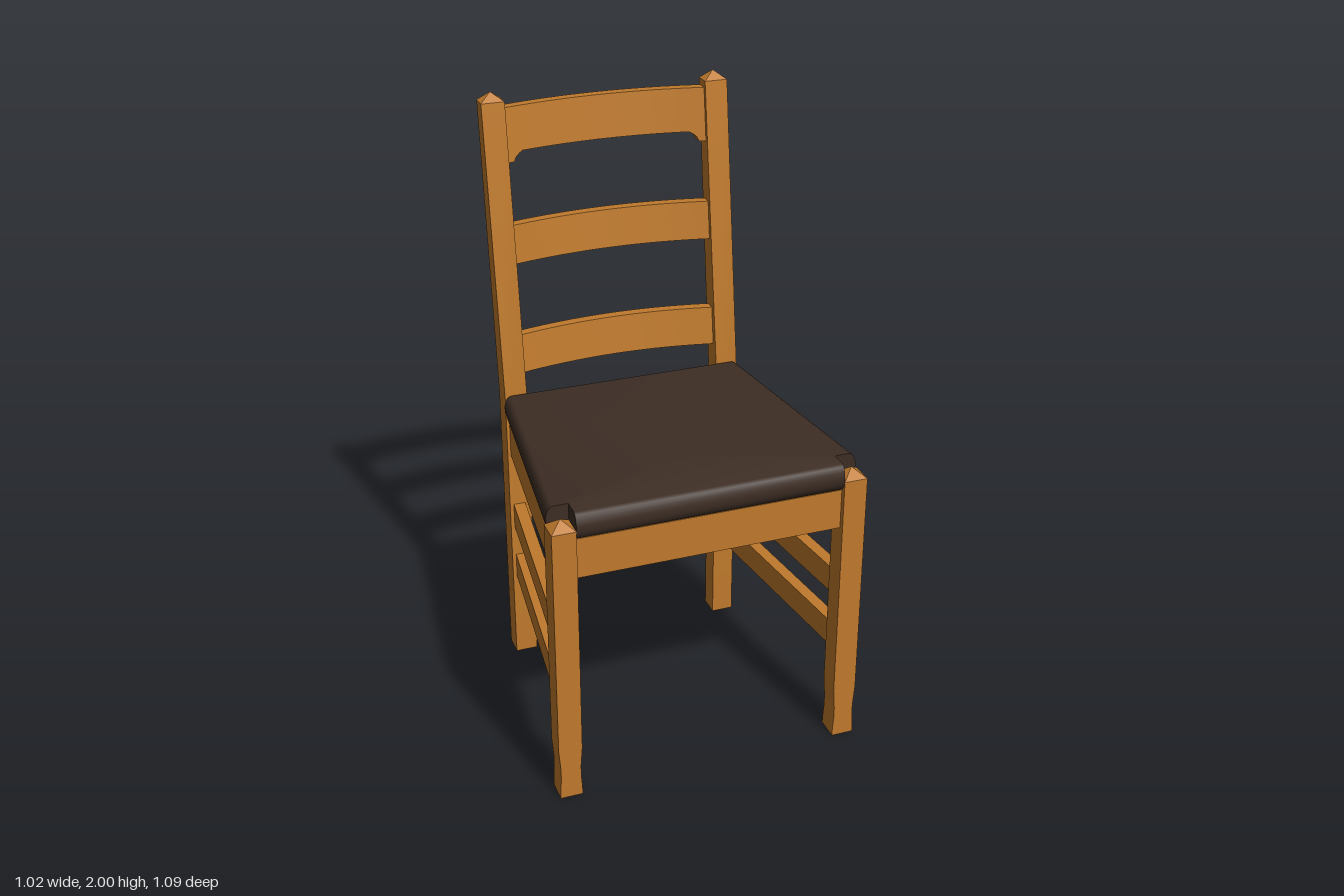
import * as THREE from 'three';
import { toCreasedNormals } from 'three/addons/utils/BufferGeometryUtils.js';

const lerp = THREE.MathUtils.lerp;

// Skin a stack of equal-length closed rings and cap both ends.
function loft(rings) {
  const pos = [];
  const tri = (a, b, c) => pos.push(...a, ...b, ...c);
  const centre = (r) => [0, 1, 2].map((k) => r.reduce((s, p) => s + p[k], 0) / r.length);
  const n = rings[0].length;
  for (let i = 0; i < rings.length - 1; i++) {
    for (let j = 0; j < n; j++) {
      const k = (j + 1) % n;
      const a = rings[i], b = rings[i + 1];
      tri(a[j], a[k], b[k]);
      tri(a[j], b[k], b[j]);
    }
  }
  const first = rings[0], last = rings[rings.length - 1];
  const c0 = centre(first), c1 = centre(last);
  for (let j = 0; j < n; j++) {
    const k = (j + 1) % n;
    tri(c0, first[k], first[j]);
    tri(c1, last[j], last[k]);
  }
  const g = new THREE.BufferGeometry();
  g.setAttribute('position', new THREE.Float32BufferAttribute(pos, 3));
  return toCreasedNormals(g, 0.6);
}

// Rectangular section centred on (x, z) at height y.
const section = (x, y, z, w, d) => [
  [x + w / 2, y, z + d / 2], [x + w / 2, y, z - d / 2],
  [x - w / 2, y, z - d / 2], [x - w / 2, y, z + d / 2],
];

// Centre line of the raked back posts above the seat.
const postZ = (y) => -0.37 - 0.12 * Math.max(0, y - 1) / 0.96;

const FX = 0.471, FZ = 0.467, BX = 0.377, BZ = -0.37, LEG = 0.077;

export function createModel() {
  const wood = new THREE.MeshStandardMaterial({ color: 0xc07a2c });
  wood.name = 'oak wood';
  const leather = new THREE.MeshStandardMaterial({ color: 0x3d2d24 });
  leather.name = 'dark brown leather';
  const lining = new THREE.MeshStandardMaterial({ color: 0xb8aa7e });
  lining.name = 'seat lining';

  const model = new THREE.Group();
  model.name = 'chair';
  const chair = new THREE.Group();
  chair.name = 'chairBody';
  chair.position.set(-0.03, 0, 0.002);
  chair.rotation.y = 0.06;
  model.add(chair);

  const add = (name, geometry, material = wood) => {
    const mesh = new THREE.Mesh(geometry, material);
    mesh.name = name;
    chair.add(mesh);
    return mesh;
  };

  // Straight bar between two plan points.
  const bar = (name, x0, z0, x1, z1, yLow, yHigh, thick) => {
    const length = Math.hypot(x1 - x0, z1 - z0);
    const mesh = add(name, new THREE.BoxGeometry(length, yHigh - yLow, thick));
    mesh.position.set((x0 + x1) / 2, (yLow + yHigh) / 2, (z0 + z1) / 2);
    mesh.rotation.y = -Math.atan2(z1 - z0, x1 - x0);
  };

  for (const [side, s] of [['left', 1], ['right', -1]]) {
    // Front leg: waisted foot and a pyramid cap.
    const front = [[0, 0.073], [0.03, 0.072], [0.07, 0.066], [0.11, 0.066],
      [0.15, 0.072], [0.18, LEG], [0.96, LEG], [0.99, 0.001]];
    add(side + 'FrontLeg', loft(front.map(([y, w]) =>
      section(s * FX, y, FZ, w, y > 0.98 ? 0.001 : LEG))));

    // Back leg: straight to the seat, then raked and tapering.
    const back = [[0, 0.075, 0.075], [1, 0.075, 0.075], [1.972, 0.077, 0.055], [2, 0.001, 0.001]];
    add(side + 'BackLeg', loft(back.map(([y, w, d]) => section(s * BX, y, postZ(y), w, d))));

    // Seat rail and two stretchers along each side.
    bar(side + 'SeatRail', s * FX, FZ, s * BX, BZ, 0.79, 0.925, 0.045);
    bar(side + 'UpperStretcher', s * FX, FZ, s * BX, BZ, 0.51, 0.6, 0.04);
    bar(side + 'LowerStretcher', s * FX, FZ, s * BX, BZ, 0.31, 0.4, 0.04);
  }
  bar('frontSeatRail', -FX, FZ, FX, FZ, 0.79, 0.925, 0.04);
  bar('backSeatRail', -BX, -0.386, BX, -0.386, 0.79, 0.925, 0.04);

  // Bowed back slats; the top one has small brackets at its ends.
  const slat = (name, yLow, yHigh, bracket) => {
    const half = 0.35, inner = BX - 0.0375, t = 0.018, rings = [];
    const xs = [];
    for (let i = 0; i <= 20; i++) xs.push(lerp(-half, half, i / 20));
    if (bracket) {
      for (const d of [0.024, 0.03, 0.036, 0.044, 0.054]) xs.push(inner - d, d - inner);
    }
    xs.sort((a, b) => a - b);
    for (const x of xs) {
      const bow = -0.042 * (1 - (x / half) ** 2);
      const k = THREE.MathUtils.clamp((inner - Math.abs(x) - 0.024) / 0.03, 0, 1);
      const low = bracket ? yLow - 0.032 * (1 - Math.sqrt(k)) : yLow;
      const zt = postZ(yHigh) + bow, zb = postZ(low) + bow;
      rings.push([[x, yHigh, zt - t], [x, yHigh, zt + t], [x, low, zb + t], [x, low, zb - t]]);
    }
    add(name, loft(rings));
  };
  slat('lowerSlat', 1.076, 1.206, false);
  slat('middleSlat', 1.445, 1.573, false);
  slat('topSlat', 1.807, 1.95, true);

  // Tapered cushion with rolled edges, notched around the front legs.
  const halfWidth = (z) => lerp(0.414, 0.509, (z - BZ) / (FZ - BZ));
  const cushionRing = ([inset, y]) => {
    const nx = FX - LEG / 2, nz = FZ - LEG / 2;
    const zf = 0.505 - inset, zb = -0.332 + inset * 0.2;
    const right = [[nx, zf], [nx, nz], [halfWidth(nz) - inset, nz], [halfWidth(zb) - inset, zb]];
    const left = right.map(([x, z]) => [-x, z]).reverse();
    return [...right, ...left].map(([x, z]) => [x, y, z]);
  };
  add('seatCushion', loft([[0.025, 0.921], [0.01, 0.935], [0.001, 0.955], [0, 0.975],
    [0.004, 0.995], [0.012, 1.009], [0.022, 1.015]].map(cushionRing)), leather);

  // Board under the cushion.
  const zf = FZ - 0.01, zb = BZ;
  const board = (y) => [[FX - 0.02, y, zf], [BX - 0.02, y, zb], [0.02 - BX, y, zb], [0.02 - FX, y, zf]];
  add('seatBoard', loft([board(0.9), board(0.918)]), lining);

  return model;
}
